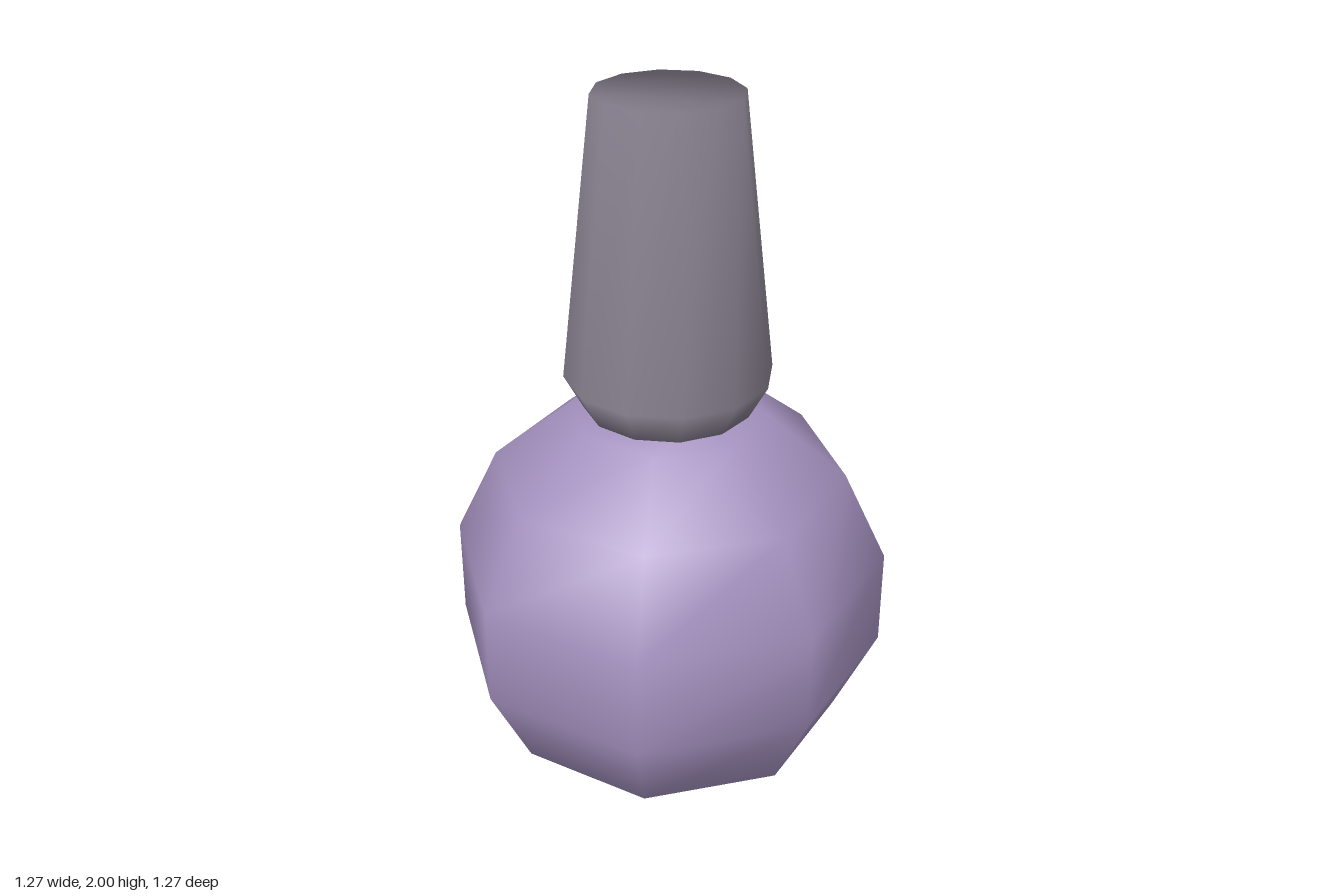
import * as THREE from 'three';

// Closed, smooth-shaded solid of revolution from [radius, y] rings, bottom to top
function turnedSolid(rings, sides) {
  const positions = [];
  const index = [];
  for (const [r, y] of rings) {
    for (let j = 0; j < sides; j++) {
      const a = (j / sides) * Math.PI * 2;
      positions.push(r * Math.sin(a), y, r * Math.cos(a));
    }
  }
  // side walls
  for (let i = 0; i < rings.length - 1; i++) {
    for (let j = 0; j < sides; j++) {
      const a = i * sides + j;
      const b = i * sides + ((j + 1) % sides);
      index.push(a, b, b + sides, a, b + sides, a + sides);
    }
  }
  // flat ends, filled in strips from one edge to the other
  const last = (rings.length - 1) * sides;
  const at = (k) => (k + 2) % sides;
  const addEnd = (a, b, c) => {
    index.push(last + at(a), last + at(b), last + at(c));
    index.push(at(a), at(c), at(b));
  };
  for (let l = 0, r = sides - 1; l + 1 < r; l++, r--) {
    addEnd(l, l + 1, r);
    if (l + 1 < r - 1) addEnd(l + 1, r - 1, r);
  }
  const geometry = new THREE.BufferGeometry();
  geometry.setAttribute('position', new THREE.Float32BufferAttribute(positions, 3));
  geometry.setIndex(index);
  geometry.computeVertexNormals();
  return geometry;
}

export function createModel() {
  const purple = new THREE.MeshStandardMaterial({ color: 0xa592c0 });
  purple.name = 'purple lacquer';
  const grey = new THREE.MeshStandardMaterial({ color: 0x88808f });
  grey.name = 'grey cap';

  // Round eight-sided bottle
  const bottle = new THREE.Mesh(turnedSolid([
    [0.28, 0], [0.51, 0.095], [0.635, 0.355], [0.635, 0.645],
    [0.51, 0.905], [0.285, 1.085], [0.15, 1.108],
  ], 8), purple);
  bottle.name = 'bottle';

  // Tall tapered twelve-sided cap
  const cap = new THREE.Mesh(turnedSolid([
    [0.24, 1.105], [0.295, 1.205], [0.205, 2],
  ], 12), grey);
  cap.name = 'cap';

  const model = new THREE.Group();
  model.name = 'polishBottle';
  model.add(bottle, cap);
  return model;
}
